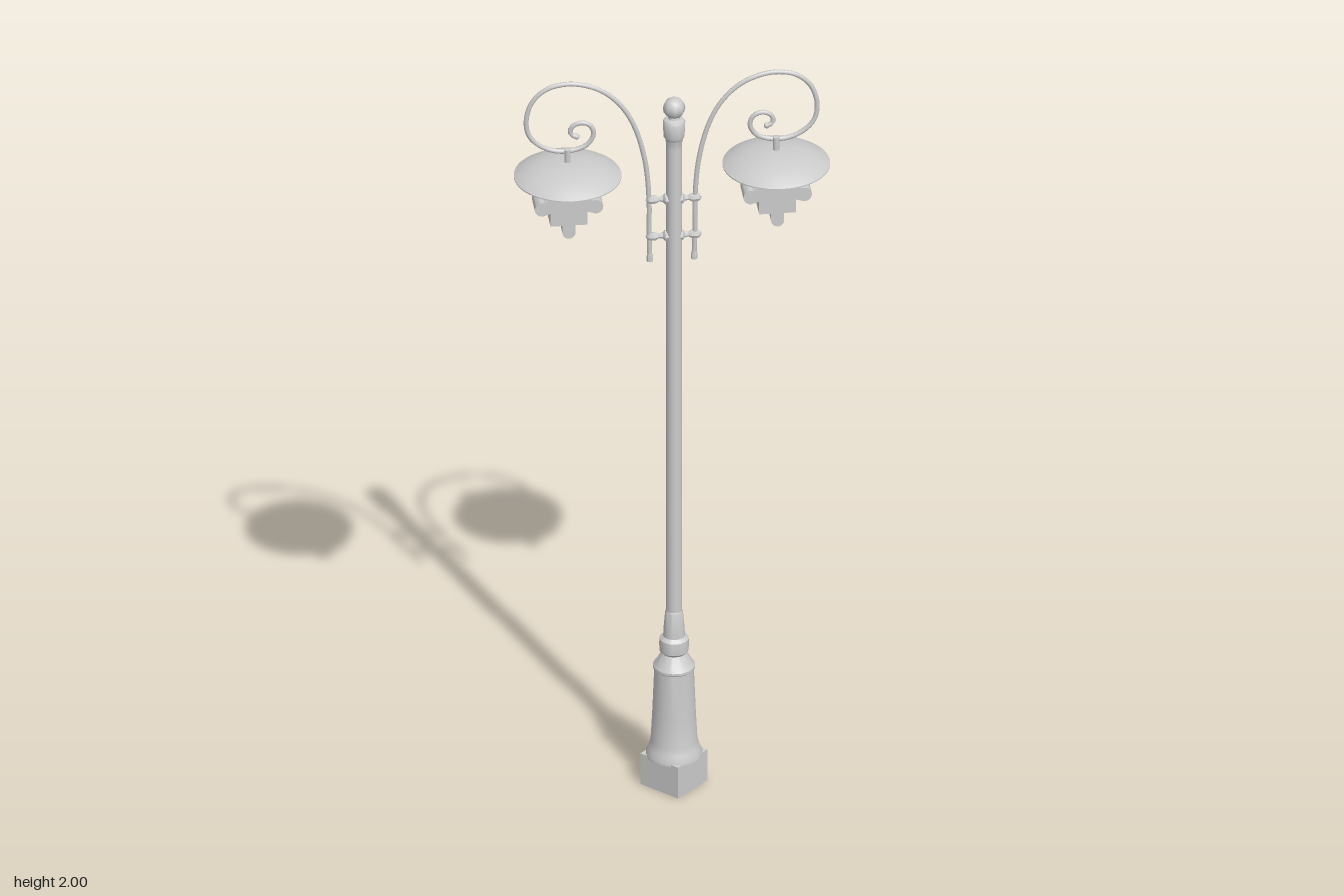
import * as THREE from 'three';
import { toCreasedNormals } from 'three/addons/utils/BufferGeometryUtils.js';

const material = new THREE.MeshStandardMaterial({ color: 0xcccccc, side: THREE.DoubleSide });

function add(parent, name, geometry, x = 0, y = 0, z = 0) {
  const mesh = new THREE.Mesh(geometry, material);
  mesh.name = name;
  mesh.position.set(x, y, z);
  parent.add(mesh);
  return mesh;
}

// Turned part from [radius, height] pairs
function turned(points, segments) {
  const profile = points.map(([r, y]) => new THREE.Vector2(r, y));
  return toCreasedNormals(new THREE.LatheGeometry(profile, segments), 0.6);
}

// Three-lobed fitting outline under the shade, origin at the shade centre
function fittingShape() {
  const s = new THREE.Shape();
  s.moveTo(-0.046, -0.025);
  s.lineTo(-0.046, -0.052);
  s.lineTo(-0.06, -0.058);
  s.absarc(-0.066, -0.077, 0.019, Math.PI * 0.4, Math.PI * 1.5, false);
  s.lineTo(-0.046, -0.09);
  s.lineTo(-0.046, -0.126);
  s.lineTo(-0.016, -0.126);
  s.lineTo(-0.016, -0.147);
  s.absarc(0, -0.147, 0.016, Math.PI, Math.PI * 2, false);
  s.lineTo(0.016, -0.126);
  s.lineTo(0.046, -0.126);
  s.lineTo(0.046, -0.09);
  s.lineTo(0.066, -0.096);
  s.absarc(0.066, -0.077, 0.019, -Math.PI * 0.5, Math.PI * 0.6, false);
  s.lineTo(0.046, -0.052);
  s.lineTo(0.046, -0.025);
  s.closePath();
  return s;
}

// Scrolled arm with its brackets and hanging lamp; side is +1 or -1
function createArm(side) {
  const arm = new THREE.Group();
  arm.name = side > 0 ? 'leftArm' : 'rightArm';

  const path = [
    [0.055, 1.49], [0.057, 1.57], [0.057, 1.65], [0.066, 1.76], [0.09, 1.857],
    [0.122, 1.92], [0.167, 1.965], [0.215, 1.987], [0.262, 1.993], [0.31, 1.982],
    [0.345, 1.95], [0.361, 1.9], [0.355, 1.855], [0.33, 1.825], [0.29, 1.806],
    [0.247, 1.805], [0.21, 1.82], [0.194, 1.85], [0.203, 1.874], [0.226, 1.882],
    [0.249, 1.87], [0.25, 1.85], [0.236, 1.843],
  ].map(([x, y]) => new THREE.Vector3(side * x, y, -0.008 * Math.min(1, Math.max(0, (x - 0.055) / 0.2))));
  const curve = new THREE.CatmullRomCurve3(path);
  add(arm, 'scroll', new THREE.TubeGeometry(curve, 110, 0.0062, 8));
  add(arm, 'scrollTip', new THREE.SphereGeometry(0.0075, 8, 6), side * 0.236, 1.843, -0.008);
  add(arm, 'armFoot', turned([[0, 1.479], [0.008, 1.483], [0.008, 1.497], [0.006, 1.505]], 8), side * 0.055);

  // Turned brackets between pole and arm
  for (const y of [1.656, 1.552]) {
    const bracket = add(arm, 'bracket', turned([
      [0.014, 0.012], [0.014, 0.022], [0.008, 0.027], [0.006, 0.036],
      [0.011, 0.045], [0.011, 0.06], [0.007, 0.066], [0, 0.07],
    ], 8), 0.004, y, 0);
    bracket.rotation.z = -side * Math.PI / 2;
  }

  // Lamp
  const lamp = new THREE.Group();
  lamp.name = 'lamp';
  lamp.position.set(side * 0.259, 1.738, -0.001);
  add(lamp, 'stem', new THREE.CylinderGeometry(0.008, 0.008, 0.045, 10), 0, 0.05, -0.003);
  add(lamp, 'shade', turned([
    [0, -0.038], [0.045, -0.036], [0.08, -0.026], [0.11, -0.012], [0.133, -0.001],
    [0.133, 0.002], [0.115, 0.014], [0.09, 0.025], [0.06, 0.033], [0.03, 0.037], [0, 0.038],
  ], 48));
  const fitting = new THREE.ExtrudeGeometry(fittingShape(), { depth: 0.065, bevelEnabled: false, curveSegments: 8 });
  add(lamp, 'fitting', toCreasedNormals(fitting, 0.6), 0, 0, -0.036);
  arm.add(lamp);
  return arm;
}

export function createModel() {
  const model = new THREE.Group();
  model.name = 'streetLamp';

  const post = new THREE.Group();
  post.name = 'post';
  post.position.x = 0.005;
  model.add(post);

  // Square plinth, turned corner to the front
  const plinth = add(post, 'plinth', new THREE.BoxGeometry(0.118, 0.087, 0.118), 0, 0.0435, 0);
  plinth.rotation.y = Math.PI / 4;

  // Pedestal, collar and shaft
  add(post, 'pedestal', turned([
    [0, 0.082], [0.07, 0.082], [0.07, 0.09], [0.063, 0.105], [0.058, 0.125], [0.054, 0.2],
    [0.049, 0.325], [0.052, 0.328], [0.052, 0.335], [0.045, 0.345], [0.03, 0.372],
  ], 32));
  add(post, 'collar', turned([
    [0.03, 0.37], [0.036, 0.377], [0.037, 0.395], [0.036, 0.41], [0.027, 0.418],
    [0.026, 0.44], [0.022, 0.485], [0.02, 0.49],
  ], 24));
  add(post, 'shaft', new THREE.CylinderGeometry(0.0195, 0.02, 1.36, 20, 1, true), 0, 1.16, 0);

  // Capital and faceted ball finial
  add(post, 'capital', turned([
    [0.0195, 1.8], [0.021, 1.825], [0.026, 1.833], [0.028, 1.875], [0.025, 1.88],
    [0.015, 1.884], [0.013, 1.893],
  ], 12));
  add(post, 'finial', new THREE.SphereGeometry(0.028, 8, 8), 0, 1.913, 0);

  for (const side of [1, -1]) model.add(createArm(side));
  return model;
}
